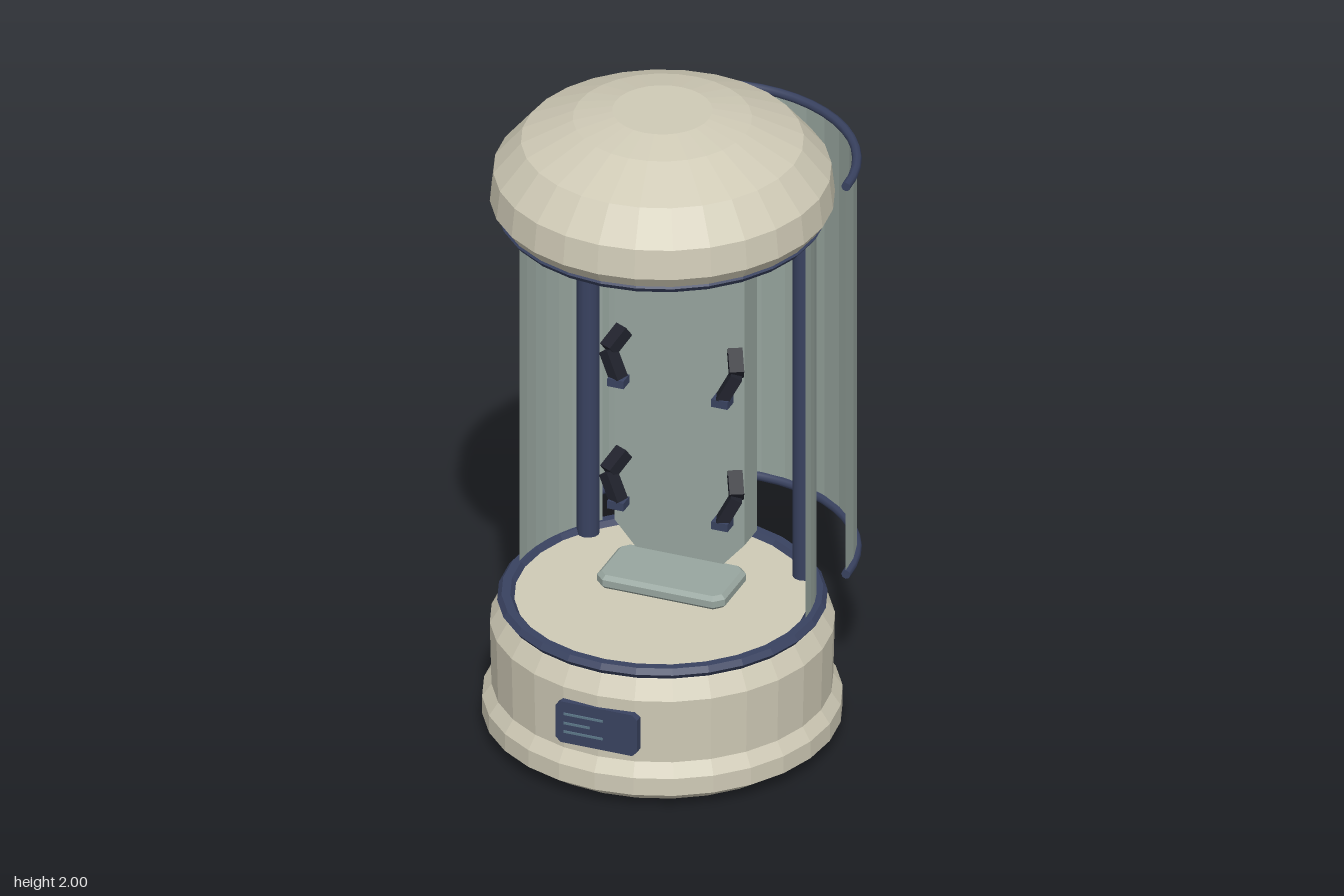
import * as THREE from 'three';

const mat = (name, color, extra = {}) => {
  const m = new THREE.MeshStandardMaterial({ color, ...extra });
  m.name = name;
  return m;
};

export function createModel() {
  const model = new THREE.Group();
  model.name = 'openCapsule';

  const cream = mat('creamShell', 0xcfcab6);
  const navy = mat('navyTrim', 0x394260);
  const green = mat('greenPanel', 0x98a69f);
  const greenThin = mat('greenThinPanel', 0x98a69f, { side: THREE.DoubleSide });
  const black = mat('blackRestraint', 0x20222c);
  const line = mat('displayLine', 0x5c7888);

  const AXIS = 0.12;   // z of the main chamber axis
  const DOOR = -0.19;  // z of the slid-back door axis
  const SIDES = 28;

  const add = (name, geo, material, x = 0, y = 0, z = 0, parent = model) => {
    const mesh = new THREE.Mesh(geo, material);
    mesh.name = name;
    mesh.position.set(x, y, z);
    parent.add(mesh);
    return mesh;
  };
  // Faceted surface: every face gets its own normal
  const facet = (geo) => {
    const g = geo.index ? geo.toNonIndexed() : geo;
    g.computeVertexNormals();
    return g;
  };
  const lathe = (pts) =>
    facet(new THREE.LatheGeometry(pts.map(([r, y]) => new THREE.Vector2(r, y)), SIDES));
  // Rectangle with cut corners: separate cuts for bottom and top
  const cutRect = (w, y0, y1, bx, by, tx, ty) => new THREE.Shape([
    [-w + bx, y0], [w - bx, y0], [w, y0 + by], [w, y1 - ty],
    [w - tx, y1], [-w + tx, y1], [-w, y1 - ty], [-w, y0 + by],
  ].map(([x, y]) => new THREE.Vector2(x, y)));
  // Square bar joining two points
  const bar = (name, a, b, w, d, material, parent) => {
    const p = new THREE.Vector3(...a), q = new THREE.Vector3(...b);
    const m = add(name, new THREE.BoxGeometry(w, d, p.distanceTo(q)), material, 0, 0, 0, parent);
    m.position.copy(p).add(q).multiplyScalar(0.5);
    m.lookAt(q);
    return m;
  };

  // Base and domed cap
  add('base', lathe([
    [0, 0], [0.45, 0], [0.515, 0.045], [0.515, 0.1], [0.488, 0.14],
    [0.493, 0.34], [0.46, 0.395], [0.44, 0.415], [0, 0.415],
  ]), cream, 0, 0, AXIS);
  add('dome', lathe([
    [0, 1.68], [0.465, 1.68], [0.493, 1.72], [0.483, 1.81],
    [0.404, 1.905], [0.256, 1.975], [0.143, 2.0], [0, 2.0],
  ]), cream, 0, 0, AXIS);

  // Dark seal rings on base and cap
  for (const [name, y] of [['lowerSeal', 0.414], ['upperSeal', 1.678]]) {
    const ring = new THREE.TorusGeometry(0.447, 0.025, 6, SIDES).rotateX(-Math.PI / 2);
    ring.scale(1, 0.75, 1);
    add(name, facet(ring), navy, 0, y, AXIS);
  }

  // Fixed side walls and posts
  for (const s of [1, -1]) {
    const start = s > 0 ? Math.PI / 2 : Math.PI * 1.25;
    add('sideWall', facet(new THREE.CylinderGeometry(0.44, 0.44, 1.26, 7, 1, true, start, Math.PI / 4)),
      greenThin, 0, 1.045, AXIS);
    add('post', new THREE.CylinderGeometry(0.033, 0.033, 1.27, 12), navy, s * 0.332, 1.045, -0.135);
  }

  // Half-round door slid backwards, with rails on both edges
  const door = new THREE.Group();
  door.name = 'door';
  door.position.z = DOOR;
  model.add(door);
  add('doorPanel', facet(new THREE.CylinderGeometry(0.438, 0.438, 1.27, 18, 1, true, Math.PI / 2, Math.PI)),
    greenThin, 0, 1.045, 0, door);
  for (const y of [0.411, 1.679]) {
    add('doorRail', new THREE.TorusGeometry(0.438, 0.014, 8, 24, Math.PI).rotateX(-Math.PI / 2),
      navy, 0, y, 0, door);
    for (const s of [1, -1]) add('railEnd', new THREE.CircleGeometry(0.014, 8), navy, s * 0.438, y, 0, door);
  }

  // Backboard with headrest
  add('backboard', new THREE.ExtrudeGeometry(cutRect(0.2, 0.475, 1.645, 0.065, 0.075, 0.075, 0.09),
    { depth: 0.095, bevelEnabled: false }), green, 0, 0, -0.105);
  add('headrest', new THREE.ExtrudeGeometry(cutRect(0.125, 1.455, 1.635, 0.045, 0.045, 0.02, 0.02),
    { depth: 0.03, bevelEnabled: false }), green, 0, 0, -0.012);

  // Footrest with a bevelled top
  add('footrest', new THREE.ExtrudeGeometry(cutRect(0.185, -0.095, 0.095, 0.02, 0.02, 0.02, 0.02),
    { depth: 0.02, bevelThickness: 0.012, bevelSize: 0.012, bevelSegments: 1 }).rotateX(-Math.PI / 2),
    green, 0, 0.425, 0.05);

  // Four bent restraint arms
  for (const s of [1, -1]) for (const y of [0.65, 1.05]) {
    const arm = new THREE.Group();
    arm.name = 'restraintArm';
    model.add(arm);
    const top = [s * 0.17, y + 0.13, -0.01], knee = [s * 0.198, y + 0.085, 0.045];
    const tip = [s * 0.158, y + 0.005, 0.06];
    bar('upperLink', top, knee, 0.042, 0.04, black, arm);
    bar('lowerLink', knee, tip, 0.042, 0.035, black, arm);
    add('clampPad', new THREE.BoxGeometry(0.05, 0.025, 0.045), navy, s * 0.16, y, 0.06, arm);
  }

  // Hoses behind the backboard
  const hose = (name, x, pts) => add(name, new THREE.TubeGeometry(
    new THREE.CatmullRomCurve3(pts.map(([y, z]) => new THREE.Vector3(x, y, z))), 20, 0.018, 8), black);
  for (const x of [-0.08, 0, 0.08])
    hose('upperHose', x, [[1.69, -0.28], [1.6, -0.335], [1.45, -0.3], [1.3, -0.2], [1.22, -0.1]]);
  for (const x of [-0.09, 0.09])
    hose('lowerHose', x, [[0.97, -0.1], [0.83, -0.28], [0.65, -0.26], [0.48, -0.24]]);

  // Display on the front of the base
  add('displayPanel', new THREE.ExtrudeGeometry(cutRect(0.125, 0.17, 0.303, 0.015, 0.015, 0.015, 0.015),
    { depth: 0.045, bevelEnabled: false }), navy, 0, 0, 0.575);
  for (const [y, w] of [[0.265, 0.12], [0.235, 0.08], [0.207, 0.12]])
    add('displayStripe', new THREE.BoxGeometry(w, 0.007, 0.004), line, -0.1 + w / 2, y, 0.621);

  return model;
}
